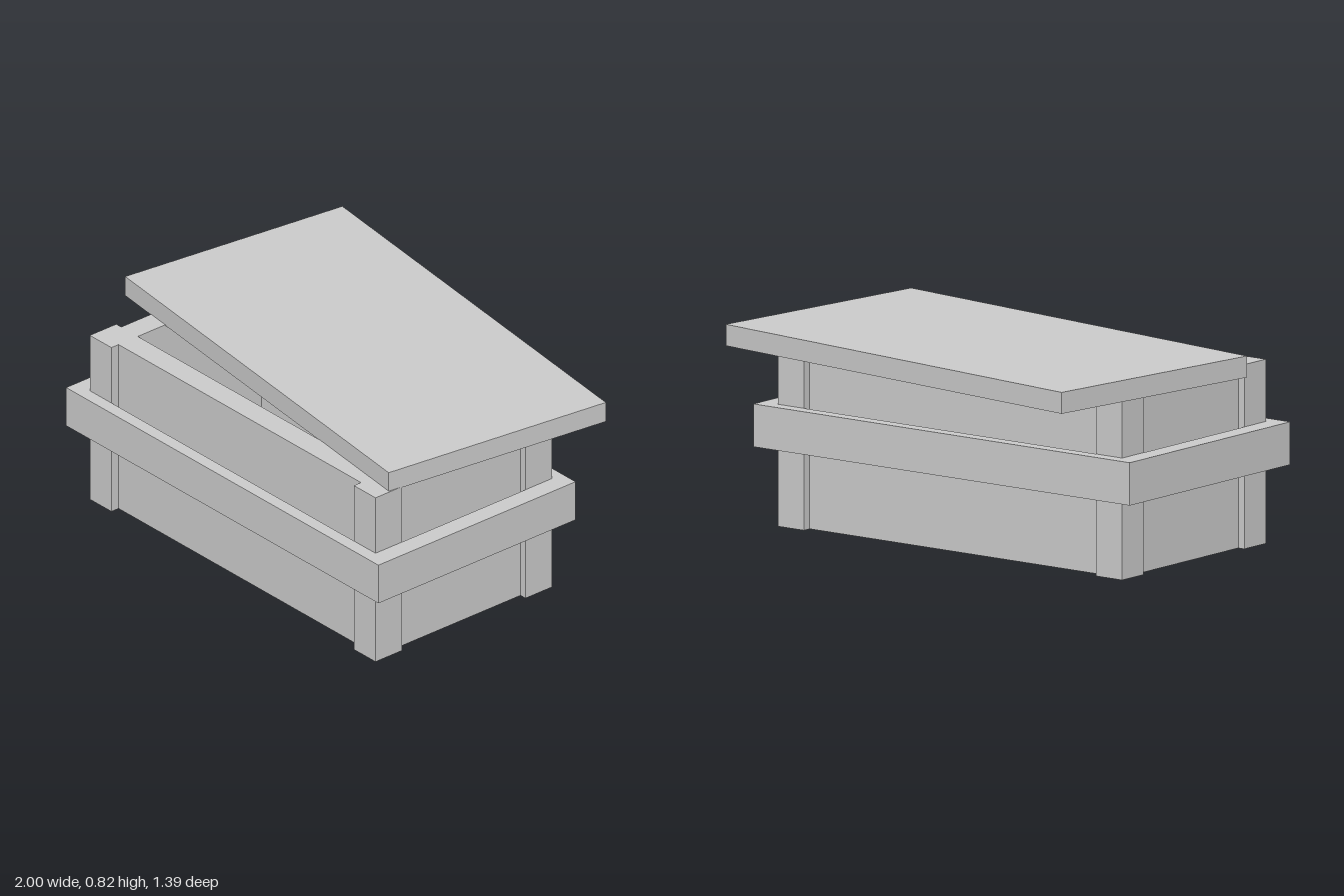
import * as THREE from 'three';

const material = new THREE.MeshStandardMaterial({ color: 0xcccccc, flatShading: true });

// Box given by its size, centre x/z and bottom height
function block(name, w, h, d, x, bottom, z) {
  const mesh = new THREE.Mesh(new THREE.BoxGeometry(w, h, d), material);
  mesh.name = name;
  mesh.position.set(x, bottom + h / 2, z);
  return mesh;
}

// Rectangular ring lying flat, from half sizes of its outer and inner edges
function ring(name, ox, oz, ix, iz, bottom, h) {
  const rect = (S, x, z) => new S([[-x, -z], [x, -z], [x, z], [-x, z]].map(p => new THREE.Vector2(...p)));
  const shape = rect(THREE.Shape, ox, oz);
  shape.holes.push(rect(THREE.Path, ix, iz));
  const geometry = new THREE.ExtrudeGeometry(shape, { depth: h, bevelEnabled: false });
  geometry.rotateX(-Math.PI / 2);
  const mesh = new THREE.Mesh(geometry, material);
  mesh.name = name;
  mesh.position.y = bottom;
  return mesh;
}

export function createModel() {
  const group = new THREE.Group();
  group.name = 'crate';

  const body = new THREE.Group();
  body.name = 'body';
  body.position.set(0.015, 0, 0.182);
  group.add(body);

  const height = 0.74;
  const outX = 0.86, outZ = 0.458;  // outer faces of the posts
  const inX = 0.73, inZ = 0.321;    // inside of the crate
  const wall = 0.1;

  // Corner posts
  for (const sx of [-1, 1]) for (const sz of [-1, 1]) {
    body.add(block('cornerPost', outX - inX, height, outZ - inZ,
      sx * (outX + inX) / 2, 0, sz * (outZ + inZ) / 2));
  }

  // Wall panels set back between the posts
  for (const s of [-1, 1]) {
    body.add(block(s > 0 ? 'frontWall' : 'backWall', inX * 2, height, wall, 0, 0, s * (inZ + wall / 2)));
    body.add(block(s > 0 ? 'leftWall' : 'rightWall', wall, height, inZ * 2, s * (inX + wall / 2), 0, 0));
  }

  // Floor
  body.add(block('floor', inX * 2, 0.1, inZ * 2, 0, 0, 0));

  // Band around the posts
  body.add(ring('band', 0.94, 0.512, outX, outZ, 0.318, 0.172));

  // Lid, pushed back and turned askew
  const lid = block('lid', 1.883, 0.086, 1.023, 0, 0.737, -0.063);
  lid.rotation.y = -0.129;
  group.add(lid);

  return group;
}
